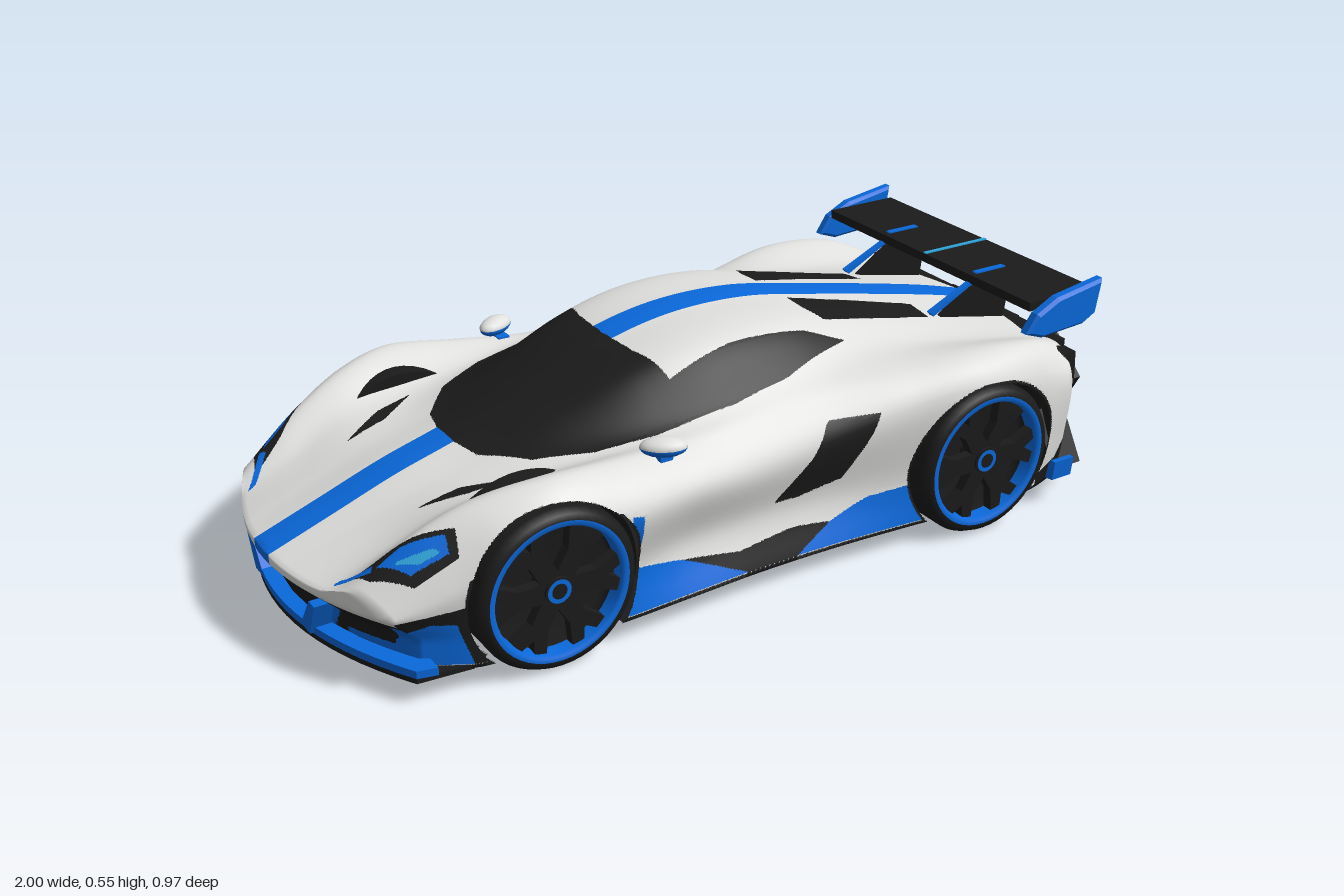
import * as THREE from 'three';

const mat = (name, color, side = THREE.DoubleSide) => {
  const m = new THREE.MeshStandardMaterial({ color, side });
  m.name = name;
  return m;
};
const M = {
  white: mat('white paint', 0xe0e0de, THREE.FrontSide),
  black: mat('black trim', 0x1b1b1b),
  blue: mat('blue accent', 0x0a69dc),
  cyan: mat('light blue edge', 0x2fa6dc),
};
const clamp = (v) => Math.min(1, Math.max(0, v));

// Guide lines of the half section, sampled at the stations X (nose to tail)
const X = [-1, -.85, -.7, -.52, -.35, -.18, 0, .2, .4, .6, .8, .93];
const L = {
  yTop: [.215, .27, .325, .38, .45, .515, .55, .548, .512, .47, .425, .39],
  zRoof: [.12, .13, .14, .14, .15, .18, .2, .2, .18, .17, .18, .2],
  yRoof: [.21, .262, .315, .365, .43, .495, .53, .53, .495, .452, .41, .385],
  zBase: [.24, .25, .26, .27, .285, .305, .312, .3, .275, .28, .3, .3],
  yBase: [.212, .275, .335, .36, .38, .4, .425, .45, .455, .43, .405, .385],
  zCrest: [.32, .34, .37, .4, .385, .365, .36, .365, .39, .42, .42, .39],
  yCrest: [.235, .335, .395, .42, .405, .39, .39, .405, .43, .45, .435, .39],
  zWide: [.39, .435, .465, .475, .47, .44, .42, .42, .445, .48, .475, .45],
  yWide: [.19, .25, .32, .355, .33, .32, .31, .33, .37, .395, .37, .34],
  zWaist: [.39, .435, .46, .465, .44, .405, .395, .4, .43, .47, .47, .44],
  zSill: [.39, .44, .455, .46, .455, .445, .435, .435, .445, .46, .455, .42],
};
function at(a, x) {
  let i = 0;
  while (i < X.length - 2 && x > X[i + 1]) i++;
  const slope = (k) => {
    const p = Math.max(0, k - 1), q = Math.min(X.length - 1, k + 1);
    return (a[q] - a[p]) / (X[q] - X[p]);
  };
  const h = X[i + 1] - X[i], t = (x - X[i]) / h, t2 = t * t, t3 = t2 * t;
  return a[i] * (2 * t3 - 3 * t2 + 1) + a[i + 1] * (3 * t2 - 2 * t3)
    + h * (slope(i) * (t3 - 2 * t2 + t) + slope(i + 1) * (t3 - t2));
}

// Colour zones: from above as [x, z], from the side as [x, y], on nose and tail as [z, y]
const inside = (poly, u, v) => {
  let r = false;
  for (let i = 0, j = poly.length - 1; i < poly.length; j = i++) {
    const [a, b] = poly[i], [c, d] = poly[j];
    if ((b > v) !== (d > v) && u < (c - a) * (v - b) / (d - b) + a) r = !r;
  }
  return r;
};
const topZones = [
  ['black', [[-.56, -.1], [-.56, .04], [-.54, .12], [-.46, .22], [-.34, .28], [-.2, .305], [0, .312], [.15, .3],
    [.35, .245], [.25, .22], [.05, .215], [-.12, .23], [-.15, .12], [-.16, 0], [-.16, -.1]]],
  ['black', [[.31, .065], [.4, .075], [.66, .1], [.66, .17], [.33, .185], [.31, .13]]],
  ['black', [[-.72, .185], [-.62, .195], [-.53, .25], [-.62, .235]]],
  ['cyan', [[-.85, .335], [-.77, .375], [-.755, .39], [-.8, .375]]],
  ['blue', [[-.87, .315], [-.82, .325], [-.74, .375], [-.745, .4], [-.82, .375]]],
  ['blue', [[-.94, .24], [-.92, .245], [-.87, .3], [-.88, .315]]],
  ['black', [[-.91, .27], [-.83, .305], [-.72, .38], [-.73, .415], [-.82, .39], [-.89, .325]]],
];
const sideZones = [
  ['black', [[.05, .2], [.12, .2], [.23, .22], [.28, .3], [.32, .37], [.19, .37], [.14, .3]]],
  ['black', [[.79, .05], [.79, .1], [.86, .12], [.9, .2], [.905, .34], [.86, .395], [.97, .42], [.97, .05]]],
  ['blue', [[-.36, .07], [-.36, .32], [-.33, .31], [-.325, .17], [-.2, .14], [-.04, .07]]],
  ['black', [[-.2, .14], [-.04, .07], [.1, .07], [.2, .12], [.1, .13], [-.05, .115]]],
  ['blue', [[.08, .07], [.2, .12], [.3, .155], [.43, .165], [.46, .07]]],
  ['blue', [[-.91, .07], [-.91, .13], [-.8, .17], [-.75, .165], [-.72, .07]]],
  ['black', [[-1, .12], [-.92, .175], [-.7, .21], [-.68, .07], [-1, .07]]],
];
const noseZones = [
  ['blue', [[.22, .065], [.22, .1], [.34, .105], [.36, .16], [.42, .17], [.42, .065]]],
  ['blue', [[.11, .065], [.17, .15], [.21, .15], [.17, .065]]],
];
const tailZones = [
  ['white', [[.5, .1], [.41, .1], [.365, .25], [.415, .28], [.41, .38], [.5, .4]]],
];
const zone = (list, u, v) => list.find((q) => inside(q[1], u, v))?.[0];
const WHEELS = [-.53, .61], AXLE = .19;

function paint(x, y, z, seg, cap) {
  if (cap > 0) return zone(tailZones, z, y) || 'black';
  if (cap < 0) {
    if (y > .172) return z < .042 ? 'blue' : 'white';
    return zone(noseZones, z, y) || 'black';
  }
  if (seg >= 4) for (const w of WHEELS) {
    const r = Math.hypot(x - w, y - AXLE);
    if (r < .2 && z > .3) return null;
    if (r < .206 && seg > 4) return 'black';
  }
  if (seg === 7) return 'black';
  if (seg <= 4) {
    const c = zone(topZones, x, z);
    if (c) return c;
    if (seg === 0) return 'blue';
  }
  return (seg >= 4 && zone(sideZones, x, y)) || (y < .068 ? 'black' : 'white');
}

// Body shell: lofted sections with rounded plan at nose and tail
function bodyShell() {
  const div = [2, 12, 12, 9, 10, 10, 9, 3], segOf = [], NX = 150, CAP = 14;
  div.forEach((d, s) => { for (let i = 0; i < d; i++) segOf.push(s); });
  const n = segOf.length, ring = 2 * n;
  const section = (x) => {
    const v = (k) => at(L[k], x), P = (z, y) => new THREE.Vector3(0, y, z);
    const c = new THREE.CatmullRomCurve3([P(0, v('yTop')), P(.042, v('yTop') - .002), P(v('zRoof'), v('yRoof')),
      P(v('zBase'), v('yBase')), P(v('zCrest'), v('yCrest')), P(v('zWide'), v('yWide')), P(v('zWaist'), .17),
      P(v('zSill'), .06)]);
    const pts = [];
    for (let s = 0; s < 7; s++) for (let i = 0; i < div[s]; i++) pts.push(c.getPoint((s + i / div[s]) / 7));
    for (let i = 0; i <= 3; i++) pts.push(P(v('zSill') * (1 - i / 3), .06));
    return pts;
  };
  const rows = [];
  for (let i = 0; i < CAP; i++) rows.push([-1, i / CAP, -1]);
  for (let i = 0; i <= NX; i++) rows.push([-1 + 1.93 * i / NX, 1, 0]);
  for (let i = CAP - 1; i >= 0; i--) rows.push([.93, i / CAP, 1]);
  const pos = [];
  for (const [xs, s] of rows) {
    const half = section(xs);
    for (let j = 0; j < ring; j++) {
      const p = half[j <= n ? j : ring - j], z = p.z * s * (j <= n ? 1 : -1), y = .13 + (p.y - .13) * s;
      const x = xs + .14 * (z / .42) ** 2 * clamp((-.5 - xs) / .5) - .05 * (z / .45) ** 2 * clamp((xs - .6) / .33)
        + .06 * clamp((.19 - y) / .06) * clamp((-.8 - xs) / .2);
      pos.push(x, y, z);
    }
  }
  const lists = { white: [], black: [], blue: [], cyan: [] };
  const middle = (...ids) => [0, 1, 2].map((k) => ids.reduce((t, i) => t + pos[3 * i + k], 0) / ids.length);
  // Triangles crossing a colour border are split so that the border runs clean
  const face = (a, b, c, seg, cap, depth = 2) => {
    const colour = ([x, y, z]) => paint(x, y, Math.abs(z), seg, cap);
    const col = colour(middle(a, b, c));
    if (depth && [a, b, c].some((i) => colour(middle(i)) !== col)) {
      const [d, e, f] = [[a, b], [b, c], [c, a]].map((pair) => pos.push(...middle(...pair)) / 3 - 1);
      for (const t of [[a, d, f], [d, b, e], [f, e, c], [d, e, f]]) face(...t, seg, cap, depth - 1);
    } else if (col) lists[col].push(a, b, c);
  };
  for (let i = 0; i < rows.length - 1; i++) for (let j = 0; j < ring; j++) {
    const a = i * ring + j, b = i * ring + (j + 1) % ring, seg = segOf[j < n ? j : ring - 1 - j];
    const cap = rows[i][2] || rows[i + 1][2];
    face(a, b, a + ring, seg, cap);
    face(b, b + ring, a + ring, seg, cap);
  }
  const g = new THREE.BufferGeometry();
  g.setAttribute('position', new THREE.Float32BufferAttribute(pos, 3));
  g.setIndex(Object.values(lists).flat());
  let start = 0;
  Object.values(lists).forEach((l, k) => { g.addGroup(start, l.length, k); start += l.length; });
  g.computeVertexNormals();
  return new THREE.Mesh(g, Object.keys(lists).map((k) => M[k]));
}

export function createModel() {
  const car = new THREE.Group();
  const add = (name, geo, m, parent = car) => {
    const mesh = new THREE.Mesh(geo, m);
    mesh.name = name;
    parent.add(mesh);
    return mesh;
  };
  const box = (name, m, w, h, d, x, y, z) => add(name, new THREE.BoxGeometry(w, h, d).translate(x, y, z), m);
  const extrude = (pts, depth, bevel = 0) => new THREE.ExtrudeGeometry(
    new THREE.Shape(pts.map((p) => new THREE.Vector2(...p))),
    { depth, bevelEnabled: bevel > 0, bevelSize: bevel, bevelThickness: bevel, bevelOffset: -bevel, bevelSegments: 1 });
  // Slab drawn as [z, y] and running along x
  const slab = (name, m, pts, x0, x1) =>
    add(name, extrude(pts.map(([z, y]) => [-z, y]), x1 - x0).rotateY(Math.PI / 2).translate(x0, 0, 0), m);
  const body = bodyShell();
  body.name = 'bodyShell';
  car.add(body);

  // Wheels with liners
  const spin = (pts) => new THREE.LatheGeometry(pts.map((p) => new THREE.Vector2(...p)), 48).rotateX(Math.PI / 2);
  for (const wx of WHEELS) for (const s of [1, -1]) {
    const w = new THREE.Group();
    w.name = wx < 0 ? 'frontWheel' : 'rearWheel';
    w.position.set(wx, AXLE, s * (wx < 0 ? .385 : .395));
    w.rotation.y = s > 0 ? 0 : Math.PI;
    add('tyre', spin([[.15, -.08], [.178, -.08], [.188, -.062], [.188, .062], [.178, .08], [.164, .083]]), M.black, w);
    add('rimRing', spin([[.164, .083], [.153, .084], [.149, .076], [.147, .045]]), M.blue, w);
    add('rimBarrel', spin([[.147, .045], [.145, .018], [0, .018]]), M.black, w);
    for (let i = 0; i < 6; i++) {
      const spoke = extrude([[-.024, .02], [.024, .02], [.022, .09], [.045, .14], [.018, .149], [0, .12], [-.018, .149],
        [-.045, .14], [-.022, .09]], .025);
      add('spoke', spoke.translate(0, 0, .045).rotateZ((i + .5) * Math.PI / 3), M.black, w);
    }
    add('hub', new THREE.CylinderGeometry(.032, .036, .06, 20).rotateX(Math.PI / 2).translate(0, 0, .045), M.black, w);
    add('hubRing', new THREE.RingGeometry(.018, .028, 20).translate(0, 0, .077), M.blue, w);
    car.add(w);
    add('wheelLiner', new THREE.CylinderGeometry(.203, .203, .14, 40, 1, true, -2.25, 4.5).rotateX(-Math.PI / 2)
      .translate(wx, AXLE, s * .36), M.black);
    add('linerBack', new THREE.CircleGeometry(.203, 40, -.7, Math.PI + 1.4).translate(wx, AXLE, s * .29), M.black);
  }

  // Front splitter following the nose curve
  const plan = [];
  for (let i = -10; i <= 10; i++) plan.push([-.975 + .13 * (i / 10) ** 2, i * .043]);
  const tray = (name, m, back, h, y) =>
    add(name, extrude([...plan, [back, .44], [back, -.44]], h).rotateX(Math.PI / 2).translate(0, y, 0), m);
  tray('splitter', M.black, -.72, .012, .068);
  tray('splitterTop', M.blue, -.8, .018, .086);

  // Rear wing
  box('wingBlade', M.black, .2, .022, .78, .88, .514, 0);
  box('wingStripe', M.cyan, .2, .004, .01, .88, .526, 0);
  for (const s of [1, -1]) {
    const end = [[.75, .46], [.78, .505], [.84, .535], [.98, .557], [.967, .47], [.93, .45], [.8, .442]];
    add('wingEndPlate', extrude(end, .018, .008).translate(0, 0, s * .407 - .009), M.blue);
    add('wingStrut', extrude([[.68, .42], [.76, .475], [.82, .512], [.92, .512], [.9, .38], [.8, .38]], .014)
      .translate(0, 0, s * .165 - .007), M.black);
    add('strutEdge', extrude([[.66, .45], [.78, .505], [.8, .528], [.89, .528], [.89, .515], [.78, .497], [.67, .44]], .016)
      .translate(0, 0, s * .17 - .008), M.blue);

    // Mirrors, with coloured undersides
    for (const [part, m, from] of [['mirrorTop', M.white, 0], ['mirrorUnderside', M.blue, Math.PI / 2]]) {
      const half = new THREE.SphereGeometry(1, 16, 6, 0, Math.PI * 2, from, Math.PI / 2).scale(.052, .022, .03);
      add(part, half.rotateY(-s * .5).translate(-.235, .415, s * .39), m);
    }
    box('mirrorArm', M.blue, .03, .014, .06, -.235, .393, s * .375);

    // Nose fins
    slab('noseFin', M.blue, [[.11, .07], [.16, .07], [.2, .155], [.17, .155]].map(([z, y]) => [s * z, y]), -.965, -.92);

    // Rear bumper legs and diffuser
    const rear = (name, m, pts, x0, x1) => slab(name, m, pts.map(([z, y]) => [s * z, y]), x0, x1);
    rear('bumperLeg', M.black, [[.39, .29], [.3, .375], [.14, .35], [.27, .31], [.31, .17], [.32, .055], [.42, .07], [.34, .2]],
      .88, .97);
    rear('tailLight', M.black, [[.405, .29], [.4, .37], [.2, .375], [.26, .3]], .87, .935);
    rear('bumperCorner', M.blue, [[.46, .07], [.42, .065], [.45, .12], [.465, .12]], .84, .9);
    for (const z of [.05, .14, .22]) box('diffuserFin', M.black, .13, .11, .01, .915, .11, s * z);
    const path = [[.225, .08], [.232, .16], [.18, .169], [.085, .165], [.07, .12], [.045, .055]]
      .map(([z, y]) => new THREE.Vector3(.987, y, s * z));
    const trim = new THREE.CurvePath();
    for (let i = 0; i < 5; i++) trim.add(new THREE.LineCurve3(path[i], path[i + 1]));
    add('diffuserTrim', new THREE.TubeGeometry(trim, 40, .005, 6), M.blue);
  }
  box('tailLip', M.black, .06, .022, .72, .905, .378, 0);
  box('bumperBar', M.black, .1, .03, .58, .935, .182, 0);
  box('diffuserFloor', M.black, .12, .014, .66, .895, .058, 0);
  slab('tailPlate', M.black, [[-.13, .355], [.13, .355], [.06, .25], [-.06, .25]], .88, .998);
  return car;
}
